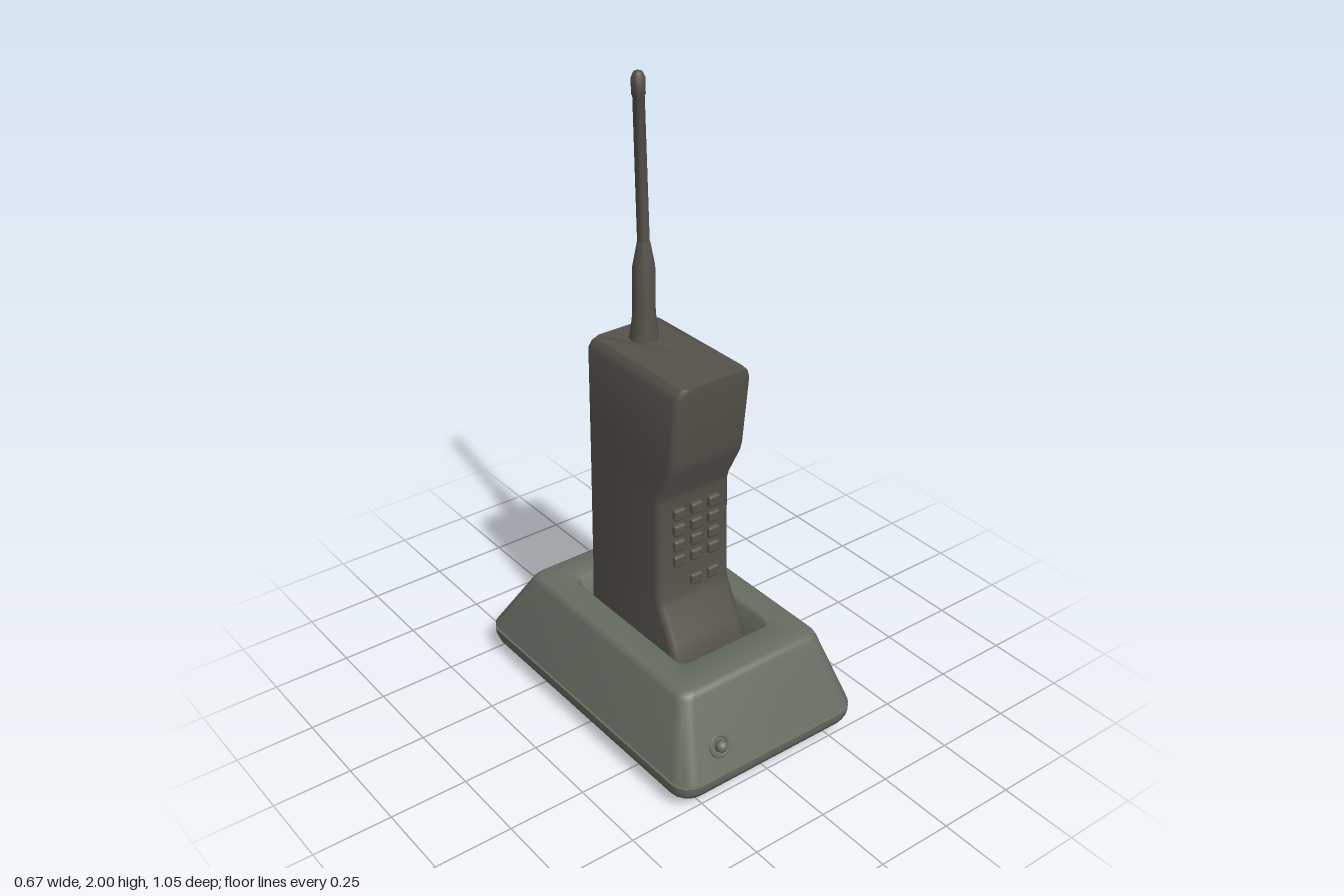
import * as THREE from 'three';
import { toCreasedNormals } from 'three/addons/utils/BufferGeometryUtils.js';
import { RoundedBoxGeometry } from 'three/addons/geometries/RoundedBoxGeometry.js';

const green = new THREE.MeshStandardMaterial({ color: 0x666e62 });
const brown = new THREE.MeshStandardMaterial({ color: 0x56524b });

// Rounded rectangle in the xz plane, running from +x towards +z
function ring([y, halfX, back, front, r], steps = 4) {
  const corners = [[halfX - r, front - r], [r - halfX, front - r], [r - halfX, back + r], [halfX - r, back + r]];
  return corners.flatMap(([cx, cz], c) => Array.from({ length: steps + 1 }, (_, i) => {
    const a = (c + i / steps) * Math.PI / 2;
    return [cx + r * Math.cos(a), y, cz + r * Math.sin(a)];
  }));
}

// Skin stacked sections [y, halfX, back, front, cornerRadius] and cap both ends
function loft(sections, crease) {
  const rings = sections.map((s) => ring(s));
  const n = rings[0].length, pos = [], idx = [];
  rings.forEach((r) => r.forEach((p) => pos.push(...p)));
  for (let s = 0; s < rings.length - 1; s++) {
    for (let i = 0; i < n; i++) {
      const a = s * n + i, b = s * n + (i + 1) % n;
      idx.push(a, a + n, b, b, a + n, b + n);
    }
  }
  const last = (rings.length - 1) * n;
  for (let i = 1; i < n - 1; i++) {
    idx.push(0, i, i + 1);
    idx.push(last, last + i + 1, last + i);
  }
  const g = new THREE.BufferGeometry();
  g.setAttribute('position', new THREE.Float32BufferAttribute(pos, 3));
  g.setIndex(idx);
  return toCreasedNormals(g, crease);
}

function add(parent, name, geometry, material) {
  const mesh = new THREE.Mesh(geometry, material);
  mesh.name = name;
  parent.add(mesh);
  return mesh;
}

export function createModel() {
  const model = new THREE.Group();
  model.name = 'phoneOnCharger';

  // Charger: tray below the seam
  const charger = new THREE.Group();
  charger.name = 'charger';
  model.add(charger);
  add(charger, 'tray', loft([
    [0, 0.285, -0.46, 0.445, 0.05],
    [0.008, 0.298, -0.475, 0.46, 0.055],
    [0.05, 0.328, -0.515, 0.515, 0.06],
    [0.07, 0.334, -0.524, 0.524, 0.06],
    [0.092, 0.335, -0.525, 0.525, 0.06],
    [0.094, 0.328, -0.518, 0.518, 0.055],
  ], 0.7), green);

  // Charger: sloped housing, over the rim and down into the phone well
  add(charger, 'housing', loft([
    [0.09, 0.328, -0.518, 0.518, 0.055],
    [0.1, 0.328, -0.518, 0.518, 0.055],
    [0.102, 0.335, -0.525, 0.525, 0.06],
    [0.325, 0.266, -0.377, 0.43, 0.04],
    [0.338, 0.26, -0.366, 0.424, 0.04],
    [0.345, 0.248, -0.352, 0.41, 0.035],
    [0.345, 0.175, -0.268, 0.305, 0.03],
    [0.338, 0.167, -0.258, 0.295, 0.028],
    [0.22, 0.145, -0.222, 0.25, 0.02],
    [0.2, 0.143, -0.22, 0.245, 0.02],
  ], 0.7), green);

  // Indicator lamp with its collar on the sloped front
  const lamp = new THREE.Group();
  lamp.name = 'indicatorLamp';
  lamp.position.set(-0.18, 0.177, 0.493);
  lamp.rotation.x = -Math.atan2(0.095, 0.223);
  charger.add(lamp);
  add(lamp, 'lampCollar', new THREE.TorusGeometry(0.031, 0.006, 8, 20), green);
  const stem = add(lamp, 'lampStem', new THREE.CylinderGeometry(0.019, 0.019, 0.02, 16), green);
  stem.rotation.x = Math.PI / 2;
  const dome = add(lamp, 'lampDome', new THREE.SphereGeometry(0.019, 16, 10), green);
  dome.position.z = 0.01;

  // Handset body: waist between earpiece and mouthpiece
  const handset = new THREE.Group();
  handset.name = 'handset';
  handset.position.x = -0.003;
  model.add(handset);
  add(handset, 'handsetBody', loft([
    [0.2, 0.137, -0.213, 0.24, 0.025],
    [0.28, 0.137, -0.213, 0.235, 0.025],
    [0.34, 0.136, -0.212, 0.212, 0.025],
    [0.44, 0.135, -0.211, 0.157, 0.025],
    [0.47, 0.135, -0.211, 0.149, 0.025],
    [0.8, 0.134, -0.21, 0.143, 0.025],
    [0.825, 0.134, -0.21, 0.149, 0.025],
    [0.925, 0.134, -0.21, 0.2, 0.025],
    [0.955, 0.134, -0.21, 0.208, 0.025],
    [1.175, 0.134, -0.21, 0.232, 0.025],
    [1.195, 0.127, -0.205, 0.234, 0.025],
    [1.21, 0.113, -0.194, 0.235, 0.025],
  ], 0.75), brown);

  // Keypad: four full rows and two lower keys
  const keypad = new THREE.Group();
  keypad.name = 'keypad';
  handset.add(keypad);
  const keyShape = new RoundedBoxGeometry(0.042, 0.038, 0.03, 2, 0.008);
  const rows = [0.753, 0.699, 0.645, 0.591, 0.503];
  rows.forEach((y, row) => {
    for (let col = row === 4 ? 1 : 0; col < 3; col++) {
      const key = add(keypad, 'key', keyShape, brown);
      key.position.set((col - 1) * 0.064 + 0.002, y, 0.144);
    }
  });

  // Antenna: upright sleeve, then a slightly leaning rod with a rounded tip
  const antenna = new THREE.Group();
  antenna.name = 'antenna';
  antenna.position.set(-0.003, 1.2, -0.1);
  model.add(antenna);
  const turned = (points) => toCreasedNormals(
    new THREE.LatheGeometry(points.map(([r, y]) => new THREE.Vector2(r, y)), 12), 0.8);
  add(antenna, 'antennaSleeve', turned([
    [0.045, 0], [0.044, 0.012], [0.036, 0.07], [0.034, 0.1], [0.033, 0.235], [0.019, 0.31], [0, 0.315],
  ]), brown);
  const rod = add(antenna, 'antennaRod', turned([
    [0.018, 0], [0.017, 0.43], [0.02, 0.434], [0.02, 0.48], [0.013, 0.496], [0, 0.501],
  ]), brown);
  rod.position.y = 0.3;
  rod.rotation.x = -0.042;

  return model;
}
